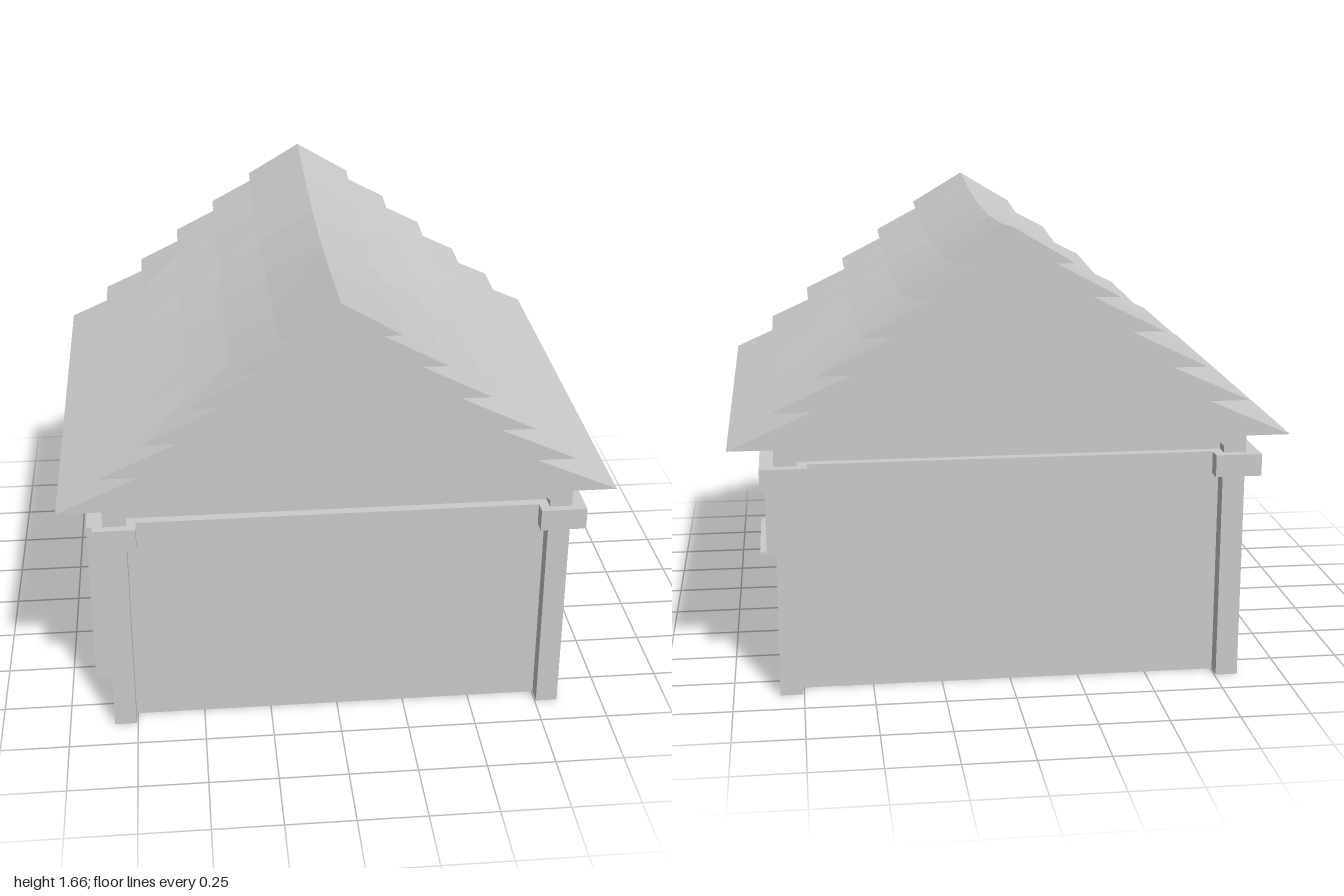
import * as THREE from 'three';

const mat = new THREE.MeshStandardMaterial({ color: 0xcccccc, flatShading: true, side: THREE.DoubleSide });

function add(parent, name, geometry) {
  const mesh = new THREE.Mesh(geometry, mat);
  mesh.name = name;
  parent.add(mesh);
  return mesh;
}

// Box given by its min and max on each axis
function box(parent, name, x0, x1, y0, y1, z0, z1) {
  const g = new THREE.BoxGeometry(x1 - x0, y1 - y0, z1 - z0);
  g.translate((x0 + x1) / 2, (y0 + y1) / 2, (z0 + z1) / 2);
  return add(parent, name, g);
}

function polygon(points) {
  return new THREE.Shape(points.map(([x, y]) => new THREE.Vector2(x, y)));
}

// Stepped roof: one cross-section swept along z, sagging towards the middle
function roofGeometry() {
  // x, y, sag in the middle
  const half = [
    [0.145, 1.54, 0.045], [0.28, 1.42, 0.04], [0.417, 1.295, 0.025],
    [0.565, 1.165, 0.007], [0.70, 1.04, 0], [0.835, 0.91, 0],
  ];
  const tips = [0.21, 0.37, 0.527, 0.685, 0.84, 0.995];
  const right = [];
  half.forEach(([x, y, sag], i) => right.push([tips[i], y, sag], [x, y, sag]));
  right.push([0.835, 0.85, 0], [0.755, 0.85, 0], [0.755, 0.875, 0]);
  const left = right.map(([x, y, s]) => [-x, y, s]).reverse();
  const ring = [[0, 1.665, 0.053], ...right, [0, 1.553, 0], ...left];

  const stations = [[0.885, 0], [0.53, 0.62], [0.177, 1], [-0.177, 1], [-0.53, 0.62], [-0.885, 0]];
  const at = (k, i) => {
    const [x, y, sag] = ring[i % ring.length];
    return [x, y - sag * stations[k][1], stations[k][0]];
  };
  const pos = [];
  for (let k = 0; k < stations.length - 1; k++) {
    for (let i = 0; i < ring.length; i++) {
      const a = at(k, i), b = at(k, i + 1), c = at(k + 1, i + 1), d = at(k + 1, i);
      pos.push(...a, ...b, ...c, ...a, ...c, ...d);
    }
  }
  // End faces
  const ccw = ring.slice().reverse();
  const tris = THREE.ShapeUtils.triangulateShape(ccw.map(([x, y]) => new THREE.Vector2(x, y)), []);
  for (const [a, b, c] of tris) {
    const p = (i, z) => [ccw[i][0], ccw[i][1], z];
    pos.push(...p(a, 0.885), ...p(b, 0.885), ...p(c, 0.885));
    pos.push(...p(a, -0.885), ...p(c, -0.885), ...p(b, -0.885));
  }
  const g = new THREE.BufferGeometry();
  g.setAttribute('position', new THREE.Float32BufferAttribute(pos, 3));
  g.computeVertexNormals();
  return g;
}

// Two-light window on a side wall, s = +1 or -1, centred at z
function makeWindow(s, z) {
  const w = new THREE.Group();
  w.name = s > 0 ? 'leftWindow' : 'rightWindow';
  const bar = (name, d0, d1, y0, y1, z0, z1) => {
    const a = s * (0.835 + d0), b = s * (0.835 + d1);
    box(w, name, Math.min(a, b), Math.max(a, b), y0, y1, z + z0, z + z1);
  };
  bar('windowPane', 0.005, 0.015, 0.31, 0.65, -0.21, 0.21);
  bar('windowJamb', 0, 0.045, 0.315, 0.66, -0.22, -0.209);
  bar('windowJamb', 0, 0.045, 0.315, 0.66, 0.209, 0.22);
  bar('windowHead', 0, 0.045, 0.649, 0.66, -0.209, 0.209);
  bar('windowMullion', 0.015, 0.038, 0.315, 0.649, -0.011, 0.011);
  bar('windowSill', 0, 0.07, 0.302, 0.315, -0.22, 0.22);
  return w;
}

export function createModel() {
  const house = new THREE.Group();
  house.name = 'house';

  add(house, 'roof', roofGeometry());

  // End walls, cross beams, gables
  for (const s of [1, -1]) {
    const end = s > 0 ? 'front' : 'back';
    const wall = add(house, end + 'Wall', new THREE.PlaneGeometry(1.6, 0.8));
    wall.position.set(0, 0.4, s * 0.82);
    if (s < 0) wall.rotation.y = Math.PI;
    const mid = s * 0.84;
    box(house, end + 'CrossBeam', -0.73, 0.73, 0.77, 0.85, mid - 0.025, mid + 0.025);
    const gable = add(house, end + 'Gable', new THREE.ShapeGeometry(
      polygon([[-0.755, 0.85], [0.755, 0.85], [0.755, 0.875], [0, 1.553], [-0.755, 0.875]])));
    gable.position.z = s * 0.83;
  }

  // Corner posts
  for (const sx of [1, -1]) for (const sz of [1, -1]) {
    const x = sx * 0.795, z = sz * 0.845;
    box(house, 'cornerPost', x - 0.04, x + 0.04, 0, 0.77, z - 0.035, z + 0.035);
  }

  // Side walls, the right one with a doorway
  for (const s of [1, -1]) {
    const shape = polygon([[-0.88, 0], [0.88, 0], [0.88, 0.77], [-0.88, 0.77]]);
    if (s < 0) shape.holes.push(new THREE.Path(
      [[-0.56, 0.005], [-0.56, 0.65], [-0.21, 0.65], [-0.21, 0.005]].map(p => new THREE.Vector2(...p))));
    const wall = add(house, s > 0 ? 'leftWall' : 'rightWall', new THREE.ShapeGeometry(shape));
    // Shape x becomes -z on both sides
    wall.rotation.y = Math.PI / 2;
    wall.position.x = s * 0.835;
  }

  // Wall plates along the sides; the right one flares slightly to the back
  box(house, 'leftBeam', 0.72, 0.885, 0.77, 0.85, -0.92, 0.915);
  const rightBeam = box(house, 'rightBeam', -0.885, -0.72, 0.77, 0.85, -0.92, 0.915);
  const p = rightBeam.geometry.attributes.position;
  for (let i = 0; i < p.count; i++) {
    if (p.getX(i) < -0.8 && p.getZ(i) > 0) p.setX(i, -0.872);
  }
  rightBeam.geometry.computeVertexNormals();

  house.add(makeWindow(1, 0), makeWindow(-1, -0.34));

  // Door with a deep frame
  const door = new THREE.Group();
  door.name = 'door';
  box(door, 'doorJamb', -0.912, -0.83, 0, 0.675, 0.19, 0.21);
  box(door, 'doorJamb', -0.912, -0.83, 0, 0.675, 0.56, 0.58);
  box(door, 'doorHead', -0.912, -0.83, 0.65, 0.675, 0.21, 0.56);
  box(door, 'doorPanel', -0.87, -0.85, 0, 0.65, 0.21, 0.56);
  house.add(door);

  return house;
}
